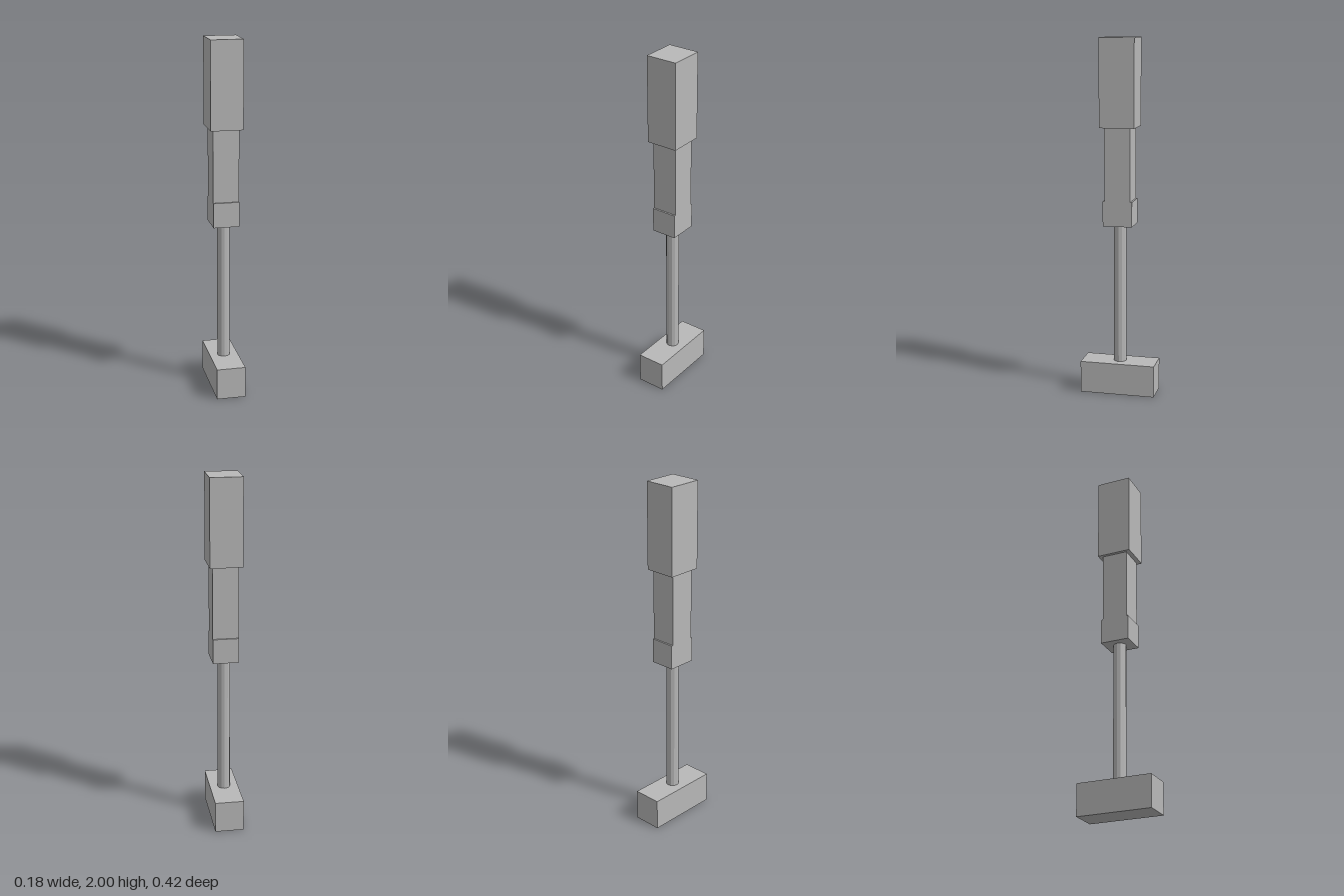
import * as THREE from 'three';

export function createModel() {
  const model = new THREE.Group();
  model.name = 'mallet';
  const grey = new THREE.MeshStandardMaterial({ color: 0xb8b8b8, flatShading: true });
  grey.name = 'grey';

  const add = (name, geometry, bottom, top) => {
    const mesh = new THREE.Mesh(geometry, grey);
    mesh.name = name;
    mesh.position.y = (bottom + top) / 2;
    model.add(mesh);
  };
  const block = (name, width, depth, bottom, top) =>
    add(name, new THREE.BoxGeometry(width, top - bottom, depth), bottom, top);

  // Foot block and round shaft
  block('base', 0.163, 0.424, 0, 0.18);
  add('shaft', new THREE.CylinderGeometry(0.036, 0.036, 0.79, 12), 0.18, 0.97);

  // Stepped square upper section
  block('collar', 0.145, 0.164, 0.97, 1.11);
  block('neck', 0.145, 0.145, 1.11, 1.515);
  block('head', 0.18, 0.195, 1.515, 2);

  return model;
}
